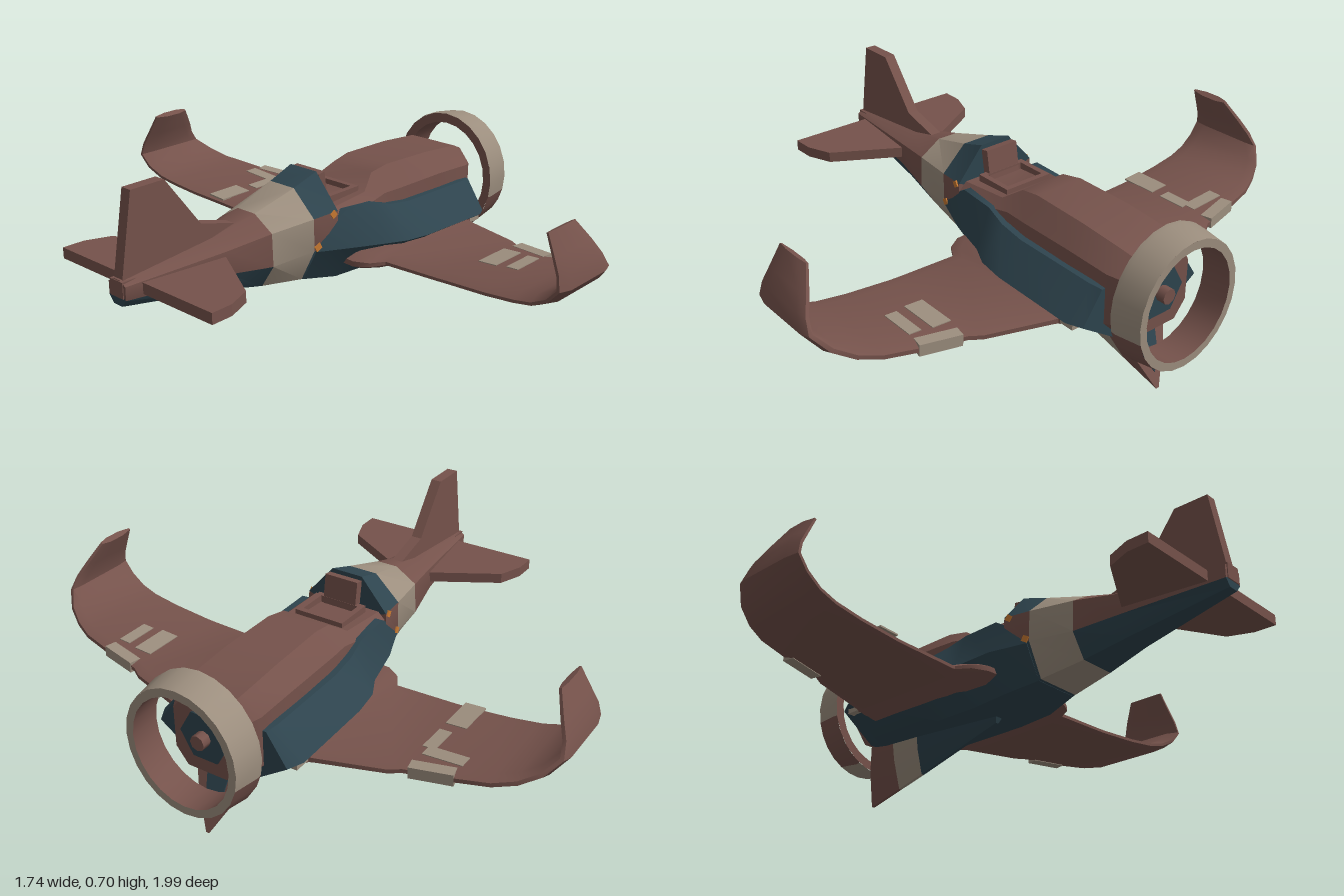
import * as THREE from 'three';
import { toCreasedNormals } from 'three/addons/utils/BufferGeometryUtils.js';

const paint = (name, color) => {
  const m = new THREE.MeshStandardMaterial({ color });
  m.name = name;
  return m;
};
const brown = paint('dull brown', 0x75524b);
const blue = paint('slate blue', 0x2e444e);
const tan = paint('pale tan', 0x9c8e7e);
const orange = paint('orange', 0xc87a32);
const V = (x, y, z) => new THREE.Vector3(x, y, z);

function add(parent, name, geo, mat) {
  const mesh = new THREE.Mesh(geo, mat);
  mesh.name = name;
  parent.add(mesh);
  return mesh;
}

function box(parent, name, mat, size, pos, rot = [0, 0, 0]) {
  const mesh = add(parent, name, new THREE.BoxGeometry(...size), mat);
  mesh.position.set(...pos);
  mesh.rotation.set(...rot);
  return mesh;
}

// Capped skin through closed rings; pick(segment, strip) chooses the colour
function loft(parent, name, rings, pick, crease = 0.6) {
  const buckets = new Map();
  const n = rings[0].length, last = rings.length - 1;
  let volume = 0;
  const tri = (mat, a, b, c) => {
    if (!buckets.has(mat)) buckets.set(mat, []);
    buckets.get(mat).push([a, b, c]);
    volume += a.dot(b.clone().cross(c));
  };
  for (let j = 0; j < n; j++) {
    const k = (j + 1) % n;
    for (let i = 0; i < last; i++) {
      const [a, b, c, d] = [rings[i][j], rings[i + 1][j], rings[i + 1][k], rings[i][k]];
      tri(pick(i, j), a, b, c);
      tri(pick(i, j), a, c, d);
    }
    for (const i of [0, last]) {
      const mid = rings[i].reduce((s, p) => s.add(p), V(0, 0, 0)).divideScalar(n);
      const [a, b] = i ? [rings[i][k], rings[i][j]] : [rings[i][j], rings[i][k]];
      tri(pick(i ? last : -1, j), mid, a, b);
    }
  }
  const pos = [], mats = [], geo = new THREE.BufferGeometry();
  for (const [mat, tris] of buckets) {
    geo.addGroup(pos.length / 3, tris.length * 3, mats.length);
    mats.push(mat);
    for (const [a, b, c] of tris)
      for (const p of volume > 0 ? [a, b, c] : [a, c, b]) pos.push(p.x, p.y, p.z);
  }
  geo.setAttribute('position', new THREE.Float32BufferAttribute(pos, 3));
  return add(parent, name, toCreasedNormals(geo, crease), mats);
}

// Mirrored cross-section at x from [y, halfWidth] pairs, top to bottom
const section = ([x, ...half]) => [
  ...half.map(([y, w]) => V(x, y, w)),
  ...half.slice().reverse().map(([y, w]) => V(x, y, -w)),
];

function slab(points, depth) {
  const shape = new THREE.Shape(points.map(p => new THREE.Vector2(...p)));
  return new THREE.ExtrudeGeometry(shape, { depth, bevelEnabled: false });
}

function buildWing(parent, s) {
  const wing = new THREE.Group();
  wing.name = s > 0 ? 'wingFrontSide' : 'wingBackSide';
  parent.add(wing);
  // z, y, trailing x, leading x, half thickness
  const stations = [
    [0.10, 0.275, -0.02, 0.62, 0.035], [0.20, 0.27, -0.02, 0.59, 0.032],
    [0.25, 0.27, 0.01, 0.575, 0.024], [0.28, 0.27, 0.06, 0.565, 0.02],
    [0.50, 0.277, 0.06, 0.50, 0.018], [0.54, 0.279, 0.06, 0.475, 0.018],
    [0.70, 0.289, 0.052, 0.443, 0.018], [0.81, 0.302, 0.045, 0.42, 0.018],
    [0.88, 0.318, 0.035, 0.39, 0.018], [0.94, 0.35, 0.025, 0.355, 0.018],
    [0.98, 0.395, 0.02, 0.31, 0.017], [0.97, 0.44, 0.028, 0.28, 0.016],
    [0.945, 0.49, 0.038, 0.25, 0.015], [0.91, 0.56, 0.05, 0.2, 0.012],
  ];
  const rings = stations.map(([z, y, te, le, t], i) => {
    const a = stations[Math.max(i - 1, 0)], b = stations[Math.min(i + 1, stations.length - 1)];
    const len = Math.hypot(b[0] - a[0], b[1] - a[1]);
    const ny = (b[0] - a[0]) / len, nz = -(b[1] - a[1]) / len;
    return [[te, 0.3], [te + 0.05, 1], [le - 0.035, 1], [le, 0.4],
      [le, -0.4], [le - 0.035, -1], [te + 0.05, -1], [te, -0.3]]
      .map(([x, k]) => V(x, y + ny * k * t, s * (z + nz * k * t)));
  });
  loft(wing, 'wingPanel', rings, () => brown, 0.7);

  // Worn stripes on the upper skin: x0, x1, z0, z1
  const marks = s > 0
    ? [[0.24, 0.39, 0.54, 0.61], [0.25, 0.38, 0.645, 0.69]]
    : [[0.06, 0.2, 0.54, 0.615], [0.24, 0.35, 0.54, 0.585], [0.34, 0.39, 0.56, 0.7]];
  for (const [x0, x1, z0, z1] of marks) {
    const z = (z0 + z1) / 2;
    box(wing, 'wingStripe', tan, [x1 - x0, 0.006, z1 - z0],
      [(x0 + x1) / 2, 0.279 + (z - 0.54) * 0.0625 + 0.018, s * z], [-s * 0.0625, 0, 0]);
  }
  box(wing, 'leadingEdgeStripe', tan, [0.044, 0.04, 0.145], [0.439, 0.284, s * 0.625], [-s * 0.0625, -s * 0.2, 0]);

  // Blunt gun housing at the wing root
  box(wing, 'gunHousing', brown, [0.16, 0.045, 0.05], [0.5, 0.285, s * 0.235]);
  box(wing, 'gunMuzzle', tan, [0.06, 0.035, 0.04], [0.605, 0.285, s * 0.24]);
}

export function createModel() {
  const model = new THREE.Group();
  model.name = 'propellerAircraft';

  // Tapering rear body with a pale band and dark belly
  const rear = [
    [-0.87, [0.43, 0.015], [0.415, 0.04], [0.37, 0.04], [0.345, 0.02]],
    [-0.5, [0.46, 0.02], [0.43, 0.085], [0.352, 0.09], [0.285, 0.05]],
    [-0.33, [0.5, 0.04], [0.45, 0.12], [0.335, 0.125], [0.25, 0.07]],
    [-0.16, [0.548, 0.055], [0.46, 0.148], [0.345, 0.15], [0.225, 0.09]],
    [-0.055, [0.582, 0.06], [0.465, 0.16], [0.35, 0.165], [0.205, 0.1]],
  ].map(section);
  loft(model, 'rearBody', rear, (i, j) => {
    if (i === 2) return tan;
    if (i > 2) return j === 1 || j === 5 ? brown : blue;
    return j >= 2 && j <= 4 ? blue : brown;
  });

  // Cockpit deck, engine cowl and nose
  const cowl = [
    [-0.06, [0.465, 0.13], [0.44, 0.155], [0.33, 0.16], [0.21, 0.1]],
    [0.13, [0.475, 0.12], [0.445, 0.155], [0.33, 0.165], [0.2, 0.1]],
    [0.2, [0.522, 0.09], [0.46, 0.155], [0.3, 0.165], [0.2, 0.1]],
    [0.28, [0.536, 0.095], [0.46, 0.16], [0.28, 0.165], [0.2, 0.1]],
    [0.5, [0.53, 0.1], [0.46, 0.165], [0.27, 0.165], [0.2, 0.1]],
    [0.675, [0.515, 0.1], [0.45, 0.162], [0.27, 0.162], [0.205, 0.1]],
    [0.75, [0.483, 0.075], [0.43, 0.12], [0.285, 0.12], [0.228, 0.075]],
  ].map(section);
  loft(model, 'engineCowl', cowl, () => brown);

  // Dark flared side fairings and belly
  const fairing = [
    [-0.15, [0.38, 0.145], [0.34, 0.152], [0.222, 0.09]],
    [-0.02, [0.458, 0.165], [0.33, 0.2], [0.2, 0.12]],
    [0.12, [0.45, 0.17], [0.31, 0.225], [0.19, 0.12]],
    [0.2, [0.425, 0.18], [0.31, 0.265], [0.19, 0.12]],
    [0.3, [0.412, 0.185], [0.305, 0.277], [0.19, 0.12]],
    [0.62, [0.405, 0.185], [0.295, 0.277], [0.19, 0.12]],
    [0.672, [0.4, 0.175], [0.29, 0.25], [0.195, 0.11]],
  ].map(section);
  loft(model, 'sideFairings', fairing, () => blue);

  // Deep wedge keel: top x, bottom x, bottom y, half width
  const keel = [
    [0.1, 0.125, 0.17, 0.03], [0.46, 0.5, 0.068, 0.08],
    [0.58, 0.62, 0.038, 0.09], [0.68, 0.77, 0, 0.1],
  ].map(([xt, xb, yb, w]) => {
    const xm = (xt + xb) / 2, ym = (0.23 + yb) / 2;
    return [V(xt, 0.23, w), V(xm, ym, w * 0.62), V(xb, yb, 0.006),
      V(xb, yb, -0.006), V(xm, ym, -w * 0.62), V(xt, 0.23, -w)];
  });
  loft(model, 'keel', keel, i => [blue, tan, brown][i] ?? (i < 0 ? blue : brown));
  // Dark inlay on the sloping keel front
  const inlay = slab([[-0.045, 0.215], [0.045, 0.215], [0.03, 0.115], [0, 0.055], [-0.03, 0.115]], 0.006);
  inlay.rotateY(Math.PI / 2);
  inlay.applyMatrix4(new THREE.Matrix4().makeShear(0, 0, -0.391, 0, 0, 0));
  add(model, 'keelInlay', inlay, blue).position.x = 0.77;

  // Cockpit rim and seat back
  for (const s of [-1, 1]) {
    box(model, 'cockpitSideRail', brown, [0.15, 0.025, 0.02], [0.05, 0.48, s * 0.085]);
    box(model, 'cockpitCrossRail', brown, [0.02, 0.025, 0.19], [0.05 + s * 0.065, 0.48, 0]);
  }
  box(model, 'seatBack', brown, [0.03, 0.11, 0.13], [-0.025, 0.518, 0], [0, 0, 0.15]);
  for (const s of [-1, 1]) {
    box(model, 'orangeChip', orange, [0.025, 0.022, 0.006], [-0.145, 0.357, s * 0.153], [0, -s * 0.1, 0.5]);
    box(model, 'orangeChip', orange, [0.022, 0.022, 0.006], [-0.075, 0.457, s * 0.16], [0, -s * 0.1, 0.6]);
  }

  // Tail fin and stabiliser
  const fin = slab([[-0.865, 0.4], [-0.862, 0.44], [-0.815, 0.705], [-0.685, 0.705],
    [-0.545, 0.522], [-0.4, 0.482], [-0.4, 0.42]], 0.04);
  add(model, 'tailFin', fin.translate(0, 0, -0.02), brown);
  const half = [[-0.5, 0.08], [-0.64, 0.32], [-0.73, 0.355], [-0.81, 0.357]];
  const stab = slab([...half, ...half.slice().reverse().map(([x, z]) => [x, -z])], 0.038);
  add(model, 'stabiliser', stab.rotateX(Math.PI / 2).translate(0, 0.414, 0), brown);
  box(model, 'tailStub', brown, [0.06, 0.055, 0.06], [-0.843, 0.4, 0]);

  buildWing(model, 1);
  buildWing(model, -1);

  // Propeller ring around the nose axis
  const ring = new THREE.Group();
  ring.name = 'propellerRing';
  ring.position.y = 0.368;
  ring.scale.z = 0.94;
  model.add(ring);
  const turned = (name, mat, profile, start = 0, sweep = Math.PI * 2, seg = 24) => {
    const geo = new THREE.LatheGeometry(profile.map(p => new THREE.Vector2(...p)), seg, start, sweep);
    add(ring, name, toCreasedNormals(geo.rotateZ(-Math.PI / 2), 0.5), mat);
  };
  const outer = [[0.236, 0.757], [0.238, 0.775], [0.224, 0.87]];
  const a = 0.25, b = 1.15;
  turned('ringOuterTop', tan, outer, Math.PI - a, Math.PI + 2 * a, 14);
  turned('ringOuterBottom', tan, outer, b, Math.PI - 2 * b, 4);
  turned('ringOuterPatch', brown, outer, a, b - a, 4);
  turned('ringOuterPatch', brown, outer, Math.PI - b, b - a, 4);
  turned('ringFrontRim', tan, [[0.224, 0.87], [0.195, 0.87]]);
  turned('ringInside', brown, [[0.195, 0.87], [0.2, 0.757], [0.236, 0.757]]);

  // Nose plate and hub
  const disc = (name, mat, r, len, x, sides) =>
    add(model, name, new THREE.CylinderGeometry(r, r, len, sides).rotateZ(-Math.PI / 2), mat).position.set(x, 0.36, 0);
  disc('nosePlate', blue, 0.093, 0.008, 0.752, 6);
  disc('propellerHub', brown, 0.027, 0.05, 0.765, 8);

  return model;
}
